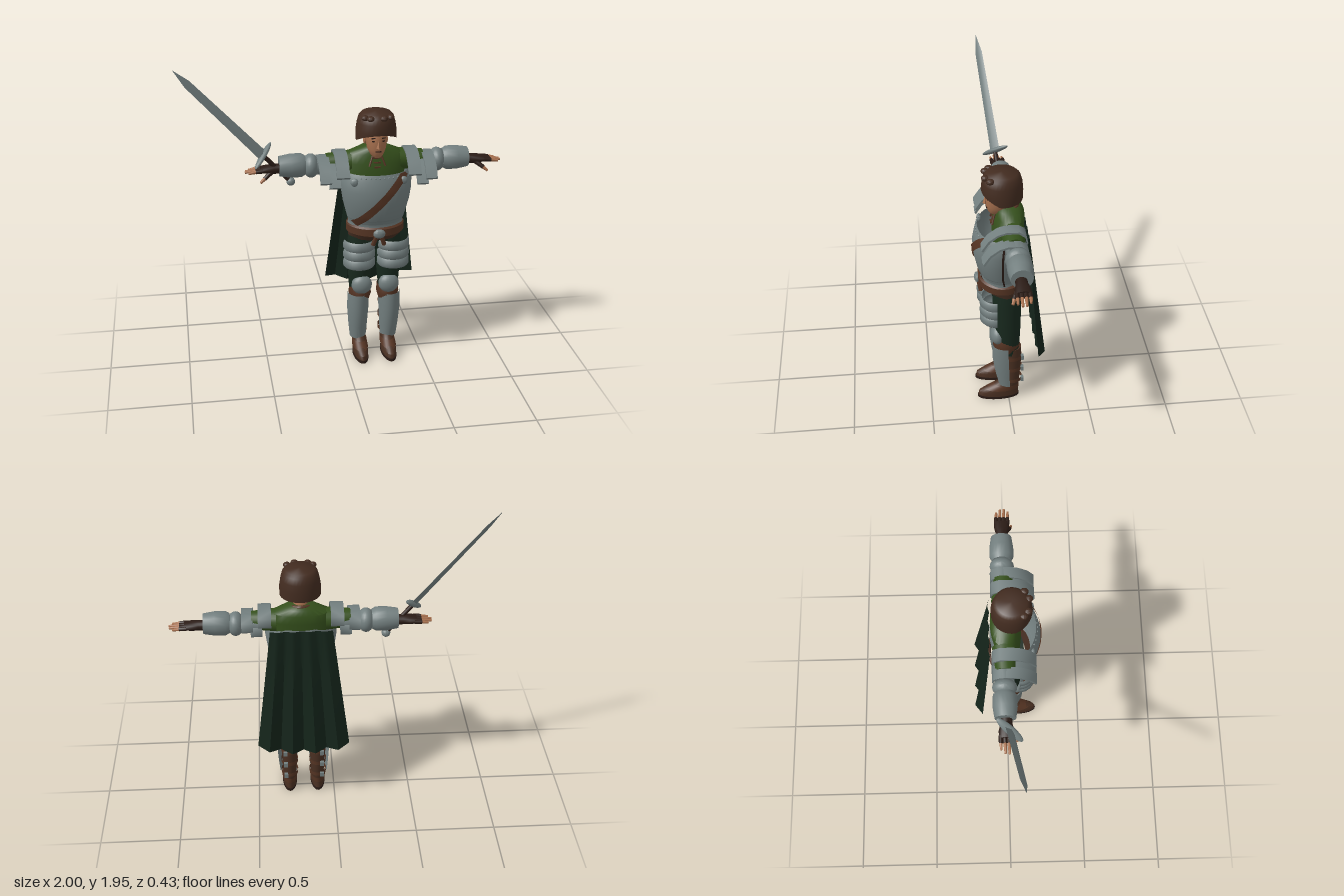
import * as THREE from 'three';
import { toCreasedNormals } from 'three/addons/utils/BufferGeometryUtils.js';

const CENTRE = 0.2; // the figure stands off-centre because of the outstretched sword

function paint(name, color, side = THREE.FrontSide) {
  const m = new THREE.MeshStandardMaterial({ color, side });
  m.name = name;
  return m;
}

// Elliptical cross-sections, rows ascending in y: [y, rx, rz, cz, cx]
function loft(rows, seg = 24, a0 = -Math.PI, a1 = Math.PI) {
  const pos = [], idx = [];
  rows.forEach(([y, rx, rz, cz = 0, cx = 0], i) => {
    for (let j = 0; j <= seg; j++) {
      const a = a0 + (a1 - a0) * j / seg;
      pos.push(cx + rx * Math.sin(a), y, cz + rz * Math.cos(a));
      if (i < rows.length - 1 && j < seg) {
        const p = i * (seg + 1) + j, q = p + seg + 1;
        idx.push(p, p + 1, q + 1, p, q + 1, q);
      }
    }
  });
  const g = new THREE.BufferGeometry();
  g.setAttribute('position', new THREE.Float32BufferAttribute(pos, 3));
  g.setIndex(idx);
  return g;
}

// Closes both ends of a loft
function solid(rows, seg) {
  const a = rows[0], b = rows[rows.length - 1];
  return loft([[a[0], 0, 0, a[3], a[4]], ...rows, [b[0], 0, 0, b[3], b[4]]], seg);
}

// A solid loft laid along +x
const alongX = (rows, y, z) => solid(rows, 20).rotateZ(-Math.PI / 2).translate(0, y, z);
const ball = (x, y, z, rx, ry = rx, rz = rx) => new THREE.SphereGeometry(1, 20, 14).scale(rx, ry, rz).translate(x, y, z);
const box = (w, h, d, x, y, z) => new THREE.BoxGeometry(w, h, d).translate(x, y, z);

function rod(a, b, r0, r1 = r0) {
  const A = new THREE.Vector3(...a), d = new THREE.Vector3(...b).sub(A);
  const q = new THREE.Quaternion().setFromUnitVectors(new THREE.Vector3(0, 1, 0), d.clone().normalize());
  return new THREE.CylinderGeometry(r1, r0, d.length(), 10).applyQuaternion(q).translate(...A.addScaledVector(d, 0.5).toArray());
}

function mirrored(geo) {
  const g = (geo.index ? geo.toNonIndexed() : geo.clone()).scale(-1, 1, 1);
  const p = g.attributes.position, v = new THREE.Vector3(), w = new THREE.Vector3();
  for (let i = 0; i < p.count; i += 3) {
    v.fromBufferAttribute(p, i + 1);
    w.fromBufferAttribute(p, i + 2);
    p.setXYZ(i + 1, w.x, w.y, w.z);
    p.setXYZ(i + 2, v.x, v.y, v.z);
  }
  return g;
}

function deform(g, rule) {
  const p = g.attributes.position;
  for (let i = 0; i < p.count; i++) p.setXYZ(i, ...rule(p.getX(i), p.getY(i), p.getZ(i)));
  return g;
}

export function createModel() {
  const steel = paint('steel', 0x737f7f, THREE.DoubleSide);
  const capBrown = paint('cap brown', 0x432c20, THREE.DoubleSide);
  const leather = paint('leather', 0x553423, THREE.DoubleSide);
  const boots = paint('boot leather', 0x4a3022);
  const dark = paint('dark leather', 0x2b1c16);
  const skin = paint('skin', 0xa8714f);
  const green = paint('shirt green', 0x35501c);
  const trousers = paint('trouser green', 0x18291e);
  const cloth = paint('cape green', 0x14241a, THREE.DoubleSide);

  const model = new THREE.Group(), body = new THREE.Group();
  body.name = 'soldier';
  body.position.x = CENTRE;
  model.add(body);
  const add = (name, geo, mat, parent = body) => {
    geo.deleteAttribute('uv');
    const m = new THREE.Mesh(toCreasedNormals(geo, 0.8), mat);
    m.name = name;
    parent.add(m);
  };
  const pair = (name, geo, mat) => {
    add(name + 'Left', geo, mat);
    add(name + 'Right', mirrored(geo), mat);
  };

  // Head and face
  add('head', solid([[1.365, 0.022, 0.025, 0.075], [1.385, 0.042, 0.05, 0.065], [1.42, 0.058, 0.075, 0.05],
    [1.47, 0.066, 0.088, 0.04], [1.53, 0.068, 0.09, 0.035], [1.58, 0.05, 0.07, 0.03]]), skin);
  add('neck', loft([[1.34, 0.056, 0.058, -0.005], [1.44, 0.046, 0.052, 0.01]]), skin);
  add('nose', new THREE.ConeGeometry(0.015, 0.05, 4).translate(0, 1.46, 0.13), skin);
  add('mouth', box(0.036, 0.006, 0.008, 0, 1.413, 0.122), dark);
  pair('ear', ball(0.067, 1.46, 0.02, 0.01, 0.026, 0.016), skin);
  pair('eye', box(0.022, 0.007, 0.008, 0.027, 1.478, 0.117), dark);
  pair('eyebrow', box(0.03, 0.006, 0.008, 0.028, 1.497, 0.118), dark);

  // Cap, its lower edge raised over the face
  const cap = loft([[1.47, 0.125, 0.122, 0.03], [1.53, 0.125, 0.124, 0.03], [1.58, 0.117, 0.119, 0.03],
    [1.62, 0.106, 0.108, 0.03], [1.638, 0.088, 0.09, 0.03], [1.645, 0, 0, 0.03]], 32);
  add('cap', deform(cap, (x, y, z) => [x, y < 1.5 ? y + Math.max(0, z - 0.05) * 0.5 : y, z]), capBrown);
  for (const [x, z] of [[-0.08, 0.1], [-0.05, 0.125], [0.03, 0.13], [0.075, 0.105]])
    add('capRoll', ball(x, 1.622, z, 0.023, 0.017, 0.025), capBrown);

  // Shirt with laced collar
  add('shirt', solid([[0.9, 0.15, 0.08], [1.2, 0.18, 0.09], [1.32, 0.2, 0.095, -0.005], [1.375, 0.175, 0.085, -0.015],
    [1.405, 0.1, 0.075, -0.01], [1.425, 0.06, 0.06, -0.005]], 28), green);
  add('collar', new THREE.TorusGeometry(0.062, 0.011, 8, 24).rotateX(Math.PI / 2 + 0.25).translate(0, 1.405, 0), leather);
  for (let i = 0; i < 4; i++) add('lace', box(0.055 - 0.006 * i, 0.008, 0.012, 0, 1.385 - i * 0.027, 0.066 + i * 0.01), leather);
  pair('laceEnd', rod([0.02, 1.39, 0.07], [0.05, 1.31, 0.094], 0.006), leather);

  // Breastplate shell
  const plate = [[0.93, 0.165, 0.115, 0.035], [1, 0.185, 0.138, 0.048], [1.09, 0.208, 0.153, 0.052], [1.17, 0.22, 0.158, 0.052],
    [1.24, 0.22, 0.15, 0.046], [1.28, 0.2, 0.14, 0.04]];
  const grown = (rows, d) => rows.map(([y, rx, rz, cz]) => [y, rx + d, rz + d, cz]);
  const plateZ = (x, y) => {
    const i = Math.max(0, plate.findLastIndex((r) => r[0] <= y) - (y >= 1.28 ? 1 : 0));
    const a = plate[i], b = plate[i + 1], t = (y - a[0]) / (b[0] - a[0]);
    const [, rx, rz, cz] = a.map((v, k) => v + (b[k] - v) * t);
    return cz + rz * Math.sqrt(Math.max(0, 1 - (x / rx) ** 2));
  };
  add('breastplate', loft(plate, 40), steel);
  add('waistFlange', loft([[0.925, 0.174, 0.125, 0.035], [0.955, 0.17, 0.122, 0.037], [0.98, 0.18, 0.135, 0.045]], 40), steel);
  pair('breastplateSeam', loft(grown(plate, 0.004), 2, 1.56, 1.64), dark);
  pair('breastplateRivet', ball(0.15, 1.235, plateZ(0.15, 1.235), 0.026, 0.026, 0.015), steel);
  for (let i = -4; i <= 4; i++) add('rimStud', ball(i * 0.028, 1.262, plateZ(i * 0.028, 1.262), 0.006), steel);
  add('chestStrap', deform(new THREE.PlaneGeometry(1, 1, 20, 4), (u, v) => {
    const x = 0.01 + u * 0.31 - v * 0.035, y = Math.min(1.279, Math.max(0.935, 1.115 + u * 0.33 + v * 0.035));
    return [x, y, plateZ(x, y) + 0.008];
  }), leather);

  // Belt and skirt
  add('belt', loft([[0.87, 0.168, 0.14, 0.03], [0.88, 0.182, 0.152, 0.03], [0.925, 0.182, 0.152, 0.03], [0.935, 0.168, 0.14, 0.03]], 36), leather);
  add('beltSkirt', loft([[0.83, 0.165, 0.112, 0.01], [0.9, 0.172, 0.135, 0.025]], 32), capBrown);
  add('buckle', ball(0, 0.9, 0.185, 0.038, 0.03, 0.018), steel);
  pair('beltEnd', rod([0.015, 0.88, 0.175], [0.035, 0.82, 0.165], 0.014), leather);

  // Legs and armour
  add('hips', solid([[0.76, 0.15, 0.085, 0.01], [0.83, 0.165, 0.1, 0.01], [0.92, 0.16, 0.1, 0.01]], 28), trousers);
  pair('trouserLeg', solid([[0.36, 0.05, 0.055, -0.01, 0.095], [0.45, 0.062, 0.07, 0, 0.095], [0.6, 0.075, 0.082, 0.005, 0.092],
    [0.78, 0.082, 0.088, 0.01, 0.087], [0.85, 0.08, 0.09, 0.01, 0.085]]), trousers);
  for (let i = 0; i < 3; i++) {
    const y = 0.65 + i * 0.06;
    pair('thighPlate', loft([[y, 0.094, 0.09, 0.08, 0.108], [y + 0.012, 0.102, 0.1, 0.08, 0.108],
      [y + 0.05, 0.1, 0.098, 0.08, 0.108], [y + 0.062, 0.09, 0.086, 0.08, 0.108]], 16, -Math.PI / 2, Math.PI / 2), steel);
  }
  pair('kneeGuard', ball(0.087, 0.505, 0.068, 0.066, 0.064, 0.046), steel);
  pair('kneeStrap', loft([[0.38, 0.058, 0.068, 0.01, 0.09], [0.43, 0.072, 0.085, 0.012, 0.09], [0.48, 0.066, 0.074, 0.005, 0.09]]), leather);
  pair('greave', loft([[0.11, 0.052, 0.062, 0, 0.1], [0.2, 0.06, 0.077, 0.005, 0.102], [0.33, 0.069, 0.09, 0.012, 0.103],
    [0.435, 0.068, 0.086, 0.015, 0.1]], 18, -1.65, 1.65), steel);

  // Boots with buckled straps
  pair('boot', solid([[0.015, 0.046, 0.13, 0.065, 0.093], [0.045, 0.047, 0.127, 0.063, 0.093], [0.07, 0.044, 0.105, 0.045, 0.093],
    [0.1, 0.042, 0.075, 0.01, 0.092], [0.15, 0.042, 0.052, -0.02, 0.09], [0.3, 0.05, 0.056, -0.026, 0.092], [0.41, 0.055, 0.06, -0.022, 0.093]]), boots);
  pair('sole', solid([[0, 0.048, 0.134, 0.065, 0.093], [0.018, 0.048, 0.134, 0.065, 0.093]]), dark);
  pair('instepStrap', loft([[0.065, 0.05, 0.112, 0.045, 0.093], [0.1, 0.046, 0.08, 0.012, 0.092]]), leather);
  for (const y of [0.15, 0.24, 0.33]) {
    pair('bootStrap', loft([[y - 0.014, 0.054, 0.061, -0.024, 0.092], [y + 0.014, 0.055, 0.062, -0.024, 0.092]]), leather);
    pair('bootBuckle', box(0.026, 0.03, 0.018, 0.118, y, -0.086), steel);
  }

  // Shoulder plates arching from back to front
  const arch = [[-0.095, 1.31], [-0.085, 1.36], [-0.045, 1.388], [0.03, 1.39], [0.08, 1.375], [0.135, 1.335], [0.175, 1.275]];
  const shoulderPlate = (x0, x1, drop) => {
    const inner = arch.map(([z, y]) => [0.03 + (z - 0.03) * 0.94, y - 0.012]).reverse();
    const shape = new THREE.Shape([...arch, ...inner].map(([z, y]) => new THREE.Vector2(z, y - drop)));
    return new THREE.ExtrudeGeometry(shape, { depth: x1 - x0, bevelEnabled: false }).rotateY(-Math.PI / 2).translate(x1, 0, 0);
  };
  [[0.18, 0.26, 0], [0.235, 0.305, 0.06], [0.29, 0.36, 0.03]].forEach((p) => pair('shoulderPlate', shoulderPlate(...p), steel));

  // Arms and hands
  pair('sleeve', alongX([[0.15, 0.07, 0.075], [0.3, 0.055, 0.06]], 1.315, -0.015), green);
  pair('upperArmPlate', alongX([[0.24, 0.062, 0.064], [0.36, 0.06, 0.06]], 1.3, -0.02), steel);
  pair('elbowGuard', ball(0.395, 1.297, -0.02, 0.052, 0.075, 0.075), steel);
  pair('forearmGuard', alongX([[0.43, 0.06, 0.06], [0.455, 0.074, 0.074], [0.52, 0.074, 0.074], [0.59, 0.062, 0.064]], 1.303, -0.02), steel);
  pair('glove', alongX([[0.58, 0.032, 0.035], [0.62, 0.03, 0.036], [0.66, 0.026, 0.046], [0.705, 0.018, 0.046]], 1.29, -0.015), dark);
  for (let i = 0; i < 4; i++) {
    const z = -0.05 + i * 0.024, tip = [0.775, 0.797, 0.8, 0.78][i];
    pair('gloveFinger', rod([0.69, 1.29, z], [0.735, 1.287, z], 0.013, 0.012), dark);
    pair('finger', rod([0.73, 1.287, z], [tip, 1.28, z + 0.003], 0.0105, 0.007), skin);
  }
  pair('gloveThumb', rod([0.635, 1.28, 0.005], [0.685, 1.245, 0.035], 0.016, 0.013), dark);
  pair('thumb', rod([0.68, 1.248, 0.033], [0.71, 1.225, 0.045], 0.012, 0.008), skin);

  // Pleated cape
  add('cape', deform(new THREE.PlaneGeometry(2, 1, 32, 10), (u, h) => {
    const v = 0.5 - h, fold = Math.abs(((u + 1) * 2) % 1 - 0.5) * 4 - 1;
    return [u * (0.19 + 0.1 * v), 1.28 - v * (0.81 + 0.045 * (1 - u * u)), -0.11 - 0.08 * v + fold * (0.006 + 0.019 * v)];
  }), cloth);

  // Sword, built upright from its pommel and then tilted
  const sword = new THREE.Group();
  sword.name = 'sword';
  model.add(sword);
  const base = new THREE.Vector3(-0.32, 1.2, -0.02);
  const up = new THREE.Vector3(-1, 1.955, 0.075).sub(base).normalize();
  const across = new THREE.Vector3(0.11, 0.11, -0.15);
  across.addScaledVector(up, -across.dot(up)).normalize();
  const pose = new THREE.Matrix4().makeBasis(across, up, across.clone().cross(up)).setPosition(base);
  const put = (name, geo, mat) => add(name, geo.applyMatrix4(pose), mat, sword);
  put('pommel', ball(0, 0, 0, 0.027), steel);
  put('grip', new THREE.CylinderGeometry(0.014, 0.014, 0.24, 12).translate(0, 0.125, 0), dark);
  put('crossguard', ball(0, 0.25, 0, 0.108, 0.016, 0.028), steel);
  put('blade', loft([[0.25, 0.038, 0.014], [0.9, 0.028, 0.01], [1.02, 0, 0]], 4), steel);
  return model;
}
